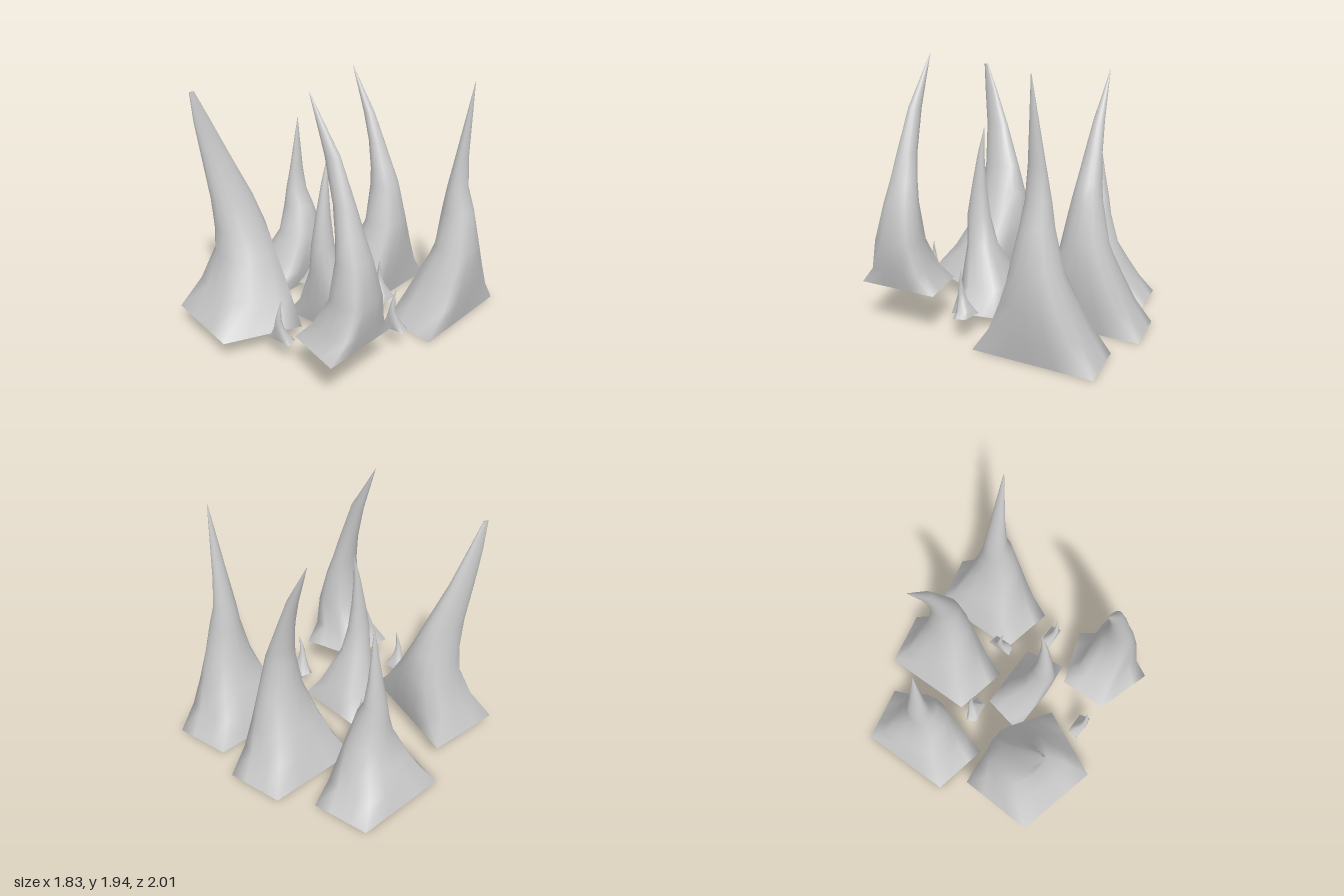
import * as THREE from 'three';

const SIDES = 16;
const material = new THREE.MeshStandardMaterial({ color: 0xcccccc, side: THREE.DoubleSide });

// Profiles: [height, inner edge, outer (bulging) edge, half width, sideways shift]
const curved = [
  [0.01, -0.217, 0.217, 0.455], [0.2, -0.15, 0.255, 0.335], [0.4, -0.085, 0.285, 0.26],
  [0.65, 0, 0.3, 0.175], [0.95, 0.02, 0.24, 0.11], [1.07, 0.015, 0.19, 0.09],
  [1.28, -0.015, 0.1, 0.063], [1.49, -0.075, 0.01, 0.04], [1.83, -0.197, -0.195, 0.002],
];
const upright = [
  [0.01, -0.217, 0.217, 0.455], [0.2, -0.165, 0.255, 0.335], [0.4, -0.1, 0.28, 0.26],
  [0.62, -0.02, 0.29, 0.185], [0.9, 0.01, 0.25, 0.115], [1.07, 0.04, 0.19, 0.09],
  [1.31, 0.09, 0.18, 0.06], [1.87, 0.204, 0.206, 0.002],
];
const hooked = [
  [0.29, -0.217, 0.217, 0.325], [0.42, -0.11, 0.25, 0.22], [0.64, 0.005, 0.29, 0.18],
  [0.91, 0.025, 0.25, 0.135], [1.06, 0.015, 0.195, 0.105], [1.27, -0.02, 0.13, 0.07],
  [1.57, -0.1, 0.015, 0.04], [1.945, -0.231, -0.229, 0.002],
];
const slim = [
  [0.085, -0.163, 0.165, 0.345], [0.25, -0.11, 0.205, 0.225], [0.53, 0.015, 0.238, 0.12],
  [0.75, 0.065, 0.25, 0.075], [0.97, 0.095, 0.21, 0.05], [1.21, 0.107, 0.16, 0.024],
  [1.41, 0.101, 0.103, 0.002],
];
const broad = [
  [0.13, -0.29, 0.29, 0.455, 0], [0.35, -0.16, 0.335, 0.33, -0.03], [0.6, -0.075, 0.345, 0.225, -0.065],
  [0.8, -0.075, 0.31, 0.16, -0.09], [1.02, -0.09, 0.235, 0.105, -0.115], [1.34, -0.13, 0.085, 0.06, -0.15],
  [1.6, -0.17, -0.04, 0.03, -0.16], [1.82, -0.19, -0.15, 0.008, -0.163],
];

// Rings morph from a trapezoid base to round sections, closing in a point
function spikeGeometry(rows, { taper = 0.2, lean = 0, shift = 0 } = {}) {
  const position = [], index = [];
  const y0 = rows[0][0], height = rows[rows.length - 1][0] - y0;
  rows.forEach(([y, inner, outer, halfWidth, side = 0], r) => {
    const t = (y - y0) / height;
    const round = Math.min(1, t / 0.35);
    for (let i = 0; i < SIDES; i++) {
      const a = (i / SIDES) * Math.PI * 2;
      const c = Math.cos(a), s = Math.sin(a);
      const toSquare = 1 / Math.max(Math.abs(c), Math.abs(s));
      const k = THREE.MathUtils.lerp(toSquare, 1, round);
      const narrow = 1 - taper * (1 - round) * (1 - c * k) / 2;
      position.push(
        (inner + outer) / 2 + c * k * (outer - inner) / 2 + lean * t * t,
        y,
        s * k * halfWidth * narrow + side + shift * t * t,
      );
      if (r < rows.length - 1) {
        const j = (i + 1) % SIDES, p = r * SIDES, q = p + SIDES;
        index.push(p + i, q + i, p + j, p + j, q + i, q + j);
      }
    }
  });
  const geometry = new THREE.BufferGeometry();
  geometry.setAttribute('position', new THREE.Float32BufferAttribute(position, 3));
  geometry.setIndex(index);
  geometry.computeVertexNormals();
  return geometry;
}

export function createModel() {
  const model = new THREE.Group();
  model.name = 'spikeCluster';

  function addSpike(name, rows, [x, y, z], turn = 0, scale = [1, 1, 1], options) {
    const mesh = new THREE.Mesh(spikeGeometry(rows, options), material);
    mesh.name = name;
    mesh.position.set(x, y, z);
    mesh.rotation.y = turn;
    mesh.scale.set(...scale);
    model.add(mesh);
  }

  // Back row of large spikes
  addSpike('backRightSpike', upright, [-0.7, 0, -0.28], 0, [1, 0.753, 1], { lean: -0.095 });
  addSpike('backMiddleSpike', curved, [-0.05, 0, -0.545]);
  addSpike('backLeftSpike', upright, [0.625, 0, -0.545]);

  // Front row of large spikes
  addSpike('frontLeftSpike', hooked, [0.56, 0, 0.615], 0, [1, 1, 1], { taper: 0.43 });
  addSpike('frontMiddleSpike', slim, [0.175, 0, 0.155], -Math.PI / 2);
  addSpike('frontRightSpike', broad, [-0.4, 0, 0.645], 1.32, [1, 1, 1], { taper: 0.26 });

  // Small spikes scattered between them: x, z, turn, sideways tip shift
  const smallSpikes = [
    [0.145, 0.72, -Math.PI / 2, -0.1],
    [0.655, 0.085, -Math.PI / 2, -0.1],
    [-0.25, -0.035, 1.77, 0],
    [0.35, -0.205, Math.PI, -0.11],
  ];
  smallSpikes.forEach(([x, z, turn, shift], i) =>
    addSpike(`smallSpike${i + 1}`, slim, [x, 0.135, z], turn, [0.26, 0.25, 0.3], { shift }));

  return model;
}
